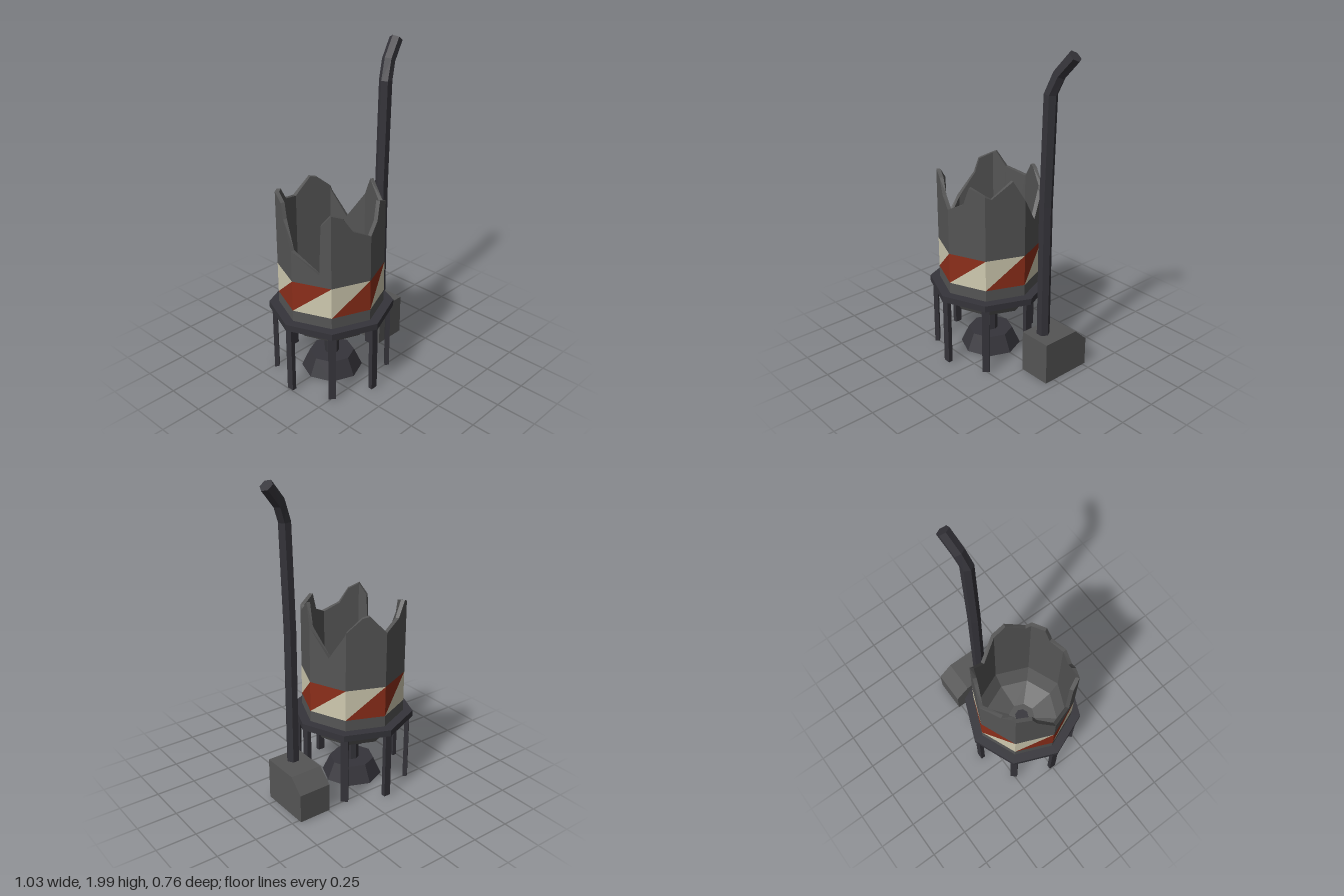
import * as THREE from 'three';

const paint = (color, side = THREE.FrontSide) =>
  new THREE.MeshStandardMaterial({ color, flatShading: true, side });

const GREY = 0x555555, DARK = 0x35343a, RED = 0x8c2e1a, CREAM = 0xcfcab0;
const SIDES = 8, R_OUT = 0.32, R_IN = 0.295;

// Point on an octagon; u counts corners from the front towards +x
function onOctagon(u, r, y) {
  const k = Math.floor(u), t = u - k;
  const a = (k * Math.PI) / 4, b = ((k + 1) * Math.PI) / 4;
  return [
    r * THREE.MathUtils.lerp(Math.sin(a), Math.sin(b), t), y,
    r * THREE.MathUtils.lerp(Math.cos(a), Math.cos(b), t),
  ];
}

function facets() {
  const pos = [];
  const tri = (a, b, c) => pos.push(...a, ...b, ...c);
  const quad = (a, b, c, d) => { tri(a, b, c); tri(a, c, d); };
  const build = () => {
    const g = new THREE.BufferGeometry();
    g.setAttribute('position', new THREE.Float32BufferAttribute(pos, 3));
    g.computeVertexNormals();
    return g;
  };
  return { tri, quad, build };
}

function mesh(name, geometry, material, parent) {
  const m = new THREE.Mesh(geometry, material);
  m.name = name;
  parent.add(m);
  return m;
}

const lathe = (points) =>
  new THREE.LatheGeometry(points.map(([r, y]) => new THREE.Vector2(r, y)), SIDES);

// Six-sided pipe swept through the given points, with flat ends
function pipe(points, radius) {
  const f = facets(), n = 6;
  const rings = points.map((p, i) => {
    const dir = points[Math.min(i + 1, points.length - 1)].clone()
      .sub(points[Math.max(i - 1, 0)]).normalize();
    const side = new THREE.Vector3(0, 0, 1).cross(dir).normalize();
    const front = dir.clone().cross(side);
    return Array.from({ length: n }, (_, j) => {
      const a = (j / n) * Math.PI * 2;
      return p.clone().addScaledVector(side, Math.cos(a) * radius)
        .addScaledVector(front, Math.sin(a) * radius).toArray();
    });
  });
  for (let i = 0; i + 1 < rings.length; i++) {
    for (let j = 0; j < n; j++) {
      const k = (j + 1) % n;
      f.quad(rings[i][j], rings[i][k], rings[i + 1][k], rings[i + 1][j]);
    }
  }
  const first = rings[0], last = rings[rings.length - 1];
  for (let j = 1; j + 1 < n; j++) {
    f.tri(last[0], last[j], last[j + 1]);
    f.tri(first[0], first[j + 1], first[j]);
  }
  return f.build();
}

export function createModel() {
  const model = new THREE.Group();
  model.name = 'brokenTank';
  const grey = paint(GREY), dark = paint(DARK);

  const tank = new THREE.Group();
  tank.name = 'tank';
  tank.position.x = -0.135;
  model.add(tank);

  // Torn rim: corner position and height
  const rim = [
    [0, 1.02], [0.42, 1.07], [0.58, 1.18], [1, 1.14], [1.15, 1.12], [1.69, 1.215],
    [2, 1.09], [2.53, 0.92], [2.95, 1.07], [3, 1.1], [3.4, 1.18], [3.58, 1.19],
    [4, 1.08], [4.6, 1.12], [4.9, 1.21], [5, 1.2], [5.4, 1.17], [5.53, 1.08],
    [6, 0.93], [6.7, 0.81], [6.75, 1.12], [7, 1.19], [7.3, 1.16], [7.55, 1.07], [8, 1.02],
  ];
  const wall = facets(), red = facets(), cream = facets();
  for (let i = 0; i + 1 < rim.length; i++) {
    const [u0, y0] = rim[i], [u1, y1] = rim[i + 1];
    // Take the far end as the end of this side, not the start of the next
    const o = (u, y) => onOctagon(u, R_OUT, y), n = (u, y) => onOctagon(u, R_IN, y);
    wall.quad(o(u0, 0.735), o(u1, 0.735), o(u1, y1), o(u0, y0));
    wall.quad(n(u1, 0.45), n(u0, 0.45), n(u0, y0), n(u1, y1));
    wall.quad(o(u0, y0), o(u1, y1), n(u1, y1), n(u0, y0));
  }
  // Warning band: a diagonal on each side, colours alternating
  for (let k = 0; k < SIDES; k++) {
    const p = (u, y) => onOctagon(u, R_OUT, y);
    const [upper, lower] = k % 2 ? [cream, red] : [red, cream];
    upper.tri(p(k, 0.54), p(k + 1, 0.735), p(k, 0.735));
    lower.tri(p(k, 0.54), p(k + 1, 0.54), p(k + 1, 0.735));
    wall.quad(p(k, 0.45), p(k + 1, 0.45), p(k + 1, 0.54), p(k, 0.54));
  }
  mesh('tankWall', wall.build(), grey, tank);
  mesh('redStripes', red.build(), paint(RED), tank);
  mesh('creamStripes', cream.build(), paint(CREAM), tank);

  // Bowl-shaped bottom
  mesh('tankBottom', lathe([[0, 0.262], [0.087, 0.262], [0.235, 0.325], [R_IN, 0.43], [R_IN, 0.45]]),
    paint(GREY, THREE.DoubleSide), tank);

  // Support ring and legs
  mesh('supportRing', lathe([[0.297, 0.43], [0.38, 0.43], [0.38, 0.47], [0.297, 0.47]]), dark, tank);
  for (let k = 0; k < SIDES; k++) {
    const a = (k * Math.PI) / 4;
    const leg = mesh('leg', new THREE.BoxGeometry(0.045, 0.44, 0.028), dark, tank);
    leg.position.set(Math.sin(a) * 0.347, 0.22, Math.cos(a) * 0.347);
    leg.rotation.y = a;
  }

  // Outlet stem and flared foot
  const stem = mesh('outletStem', new THREE.CylinderGeometry(0.045, 0.045, 0.18, SIDES), dark, tank);
  stem.position.y = 0.185;
  mesh('outletFoot', lathe([[0.19, 0], [0.14, 0.11], [0, 0.11]]), paint(DARK, THREE.DoubleSide), tank);

  // Pump housing, bevelled at the top of the back; profile drawn as (-z, y)
  const profile = new THREE.Shape([
    [-0.065, 0], [0.27, 0], [0.27, 0.18], [0.18, 0.265], [-0.065, 0.265],
  ].map(([x, y]) => new THREE.Vector2(x, y)));
  const housing = mesh('pumpHousing',
    new THREE.ExtrudeGeometry(profile, { depth: 0.208, bevelEnabled: false }), grey, model);
  housing.rotation.y = Math.PI / 2;
  housing.position.x = 0.243;

  // Tall bent pipe
  const path = [
    [0.332, 0.25, -0.02], [0.333, 1.1, -0.02], [0.352, 1.75, -0.02],
    [0.395, 1.86, -0.038], [0.484, 1.968, -0.06],
  ].map((p) => new THREE.Vector3(...p));
  mesh('tallPipe', pipe(path, 0.04), dark, model);

  return model;
}
